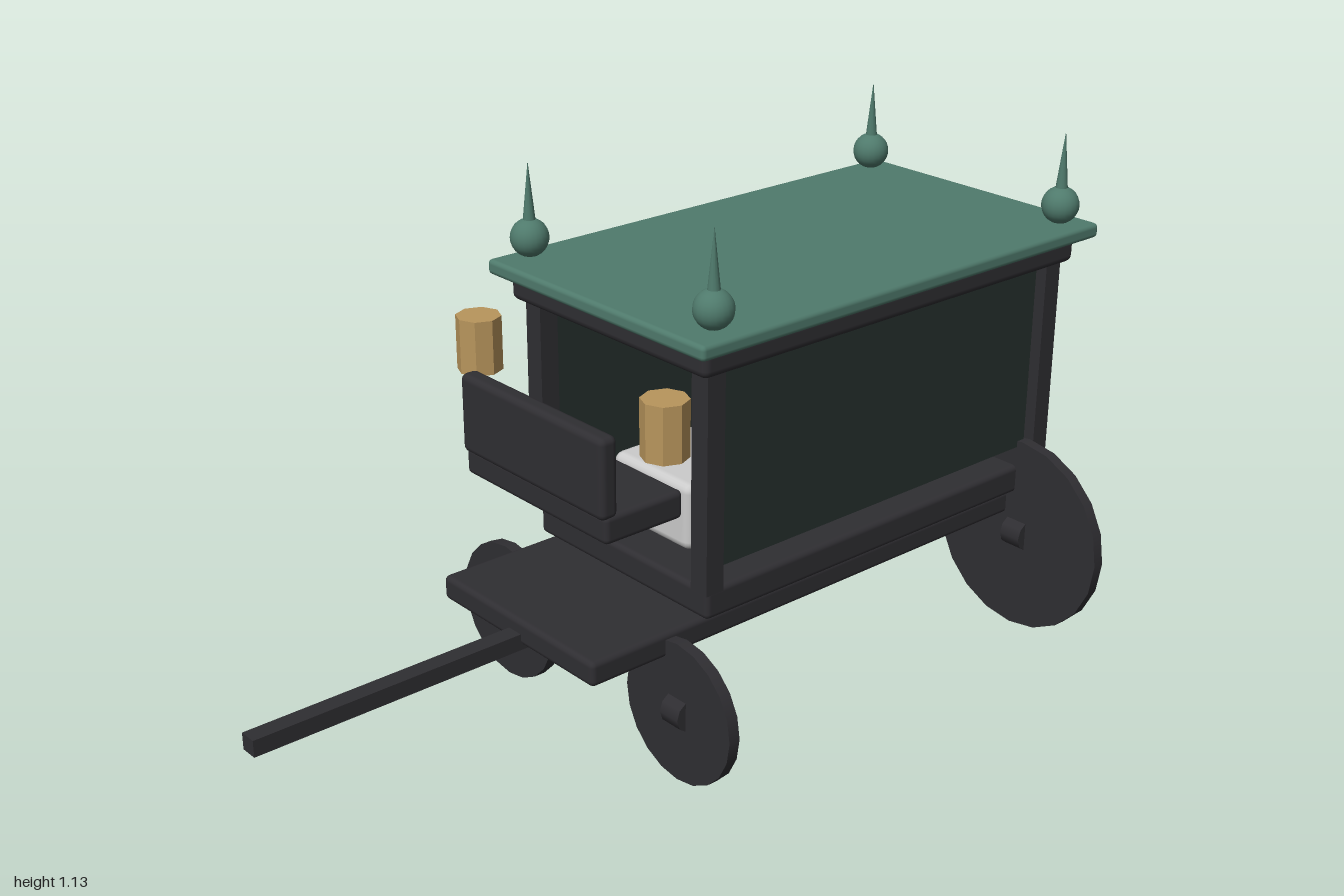
import * as THREE from 'three';
import { RoundedBoxGeometry } from 'three/addons/geometries/RoundedBoxGeometry.js';

const mat = (color) => new THREE.MeshStandardMaterial({ color });

export function createModel() {
  const model = new THREE.Group();
  const black = mat(0x2f2e32), glass = mat(0x25302d), green = mat(0x4f7a6c);
  const brass = mat(0xb8955c), pale = mat(0xcccccc);
  brass.flatShading = true;

  const add = (name, geometry, material, x, y, z) => {
    const mesh = new THREE.Mesh(geometry, material);
    mesh.name = name;
    mesh.position.set(x, y, z);
    model.add(mesh);
    return mesh;
  };
  // Box given by its extents; a radius rounds its edges
  const block = (name, material, [x0, x1], [y0, y1], [z0, z1], radius = 0) => {
    const size = [x1 - x0, y1 - y0, z1 - z0];
    const geometry = radius
      ? new RoundedBoxGeometry(...size, 2, radius)
      : new THREE.BoxGeometry(...size);
    return add(name, geometry, material, (x0 + x1) / 2, (y0 + y1) / 2, (z0 + z1) / 2);
  };

  // Undercarriage and floor
  block('chassis', black, [-0.243, 0.243], [0.262, 0.316], [-1, 0.4], 0.012);
  block('floor', black, [-0.265, 0.265], [0.32, 0.385], [-0.847, 0.13], 0.012);
  block('drawPole', black, [-0.019, 0.019], [0.252, 0.287], [0.28, 1]);

  // Roof
  block('cornice', black, [-0.297, 0.297], [0.846, 0.9], [-0.885, 0.168], 0.016);
  block('roof', green, [-0.328, 0.328], [0.899, 0.931], [-0.922, 0.201], 0.01);

  // Driver's bench
  block('seat', black, [-0.222, 0.222], [0.537, 0.597], [0.153, 0.345], 0.012);
  block('seatBack', black, [-0.222, 0.222], [0.588, 0.756], [0.312, 0.354], 0.014);

  // Casket and rear panel; the front stays open
  block('casket', pale, [-0.12, 0.12], [0.388, 0.535], [-0.78, 0.052], 0.02);
  block('rearPanel', glass, [-0.232, 0.232], [0.43, 0.832], [-0.85, -0.834]);

  const ballGeometry = new THREE.SphereGeometry(0.04, 20, 14);
  const spikeGeometry = new THREE.ConeGeometry(0.013, 0.122, 12);
  const lanternGeometry = new THREE.CylinderGeometry(0.047, 0.047, 0.115, 8);
  const hubGeometry = new THREE.CylinderGeometry(0.035, 0.035, 0.052, 10).rotateZ(Math.PI / 2);

  for (const side of [-1, 1]) {
    block('sidePanel', glass, [side * 0.255 - 0.008, side * 0.255 + 0.008], [0.43, 0.835], [-0.805, 0.09]);
    add('lantern', lanternGeometry, brass, side * 0.287, 0.778, 0.256);

    // Corner posts and roof finials
    for (const z of [0.121, -0.842]) {
      block('cornerPost', black, [side * 0.255 - 0.023, side * 0.255 + 0.023], [0.384, 0.85], [z - 0.022, z + 0.022]);
    }
    for (const z of [0.13, -0.85]) {
      add('finialBall', ballGeometry, green, side * 0.277, 0.974, z);
      add('finialSpike', spikeGeometry, green, side * 0.277, 1.071, z);
    }

    // Disc wheels with hubs
    for (const [name, radius, z] of [['front', 0.153, 0.204], ['rear', 0.222, -0.797]]) {
      const disc = new THREE.CylinderGeometry(radius, radius, 0.026, 20).rotateX(Math.PI / 2);
      add(name + 'Wheel', disc, black, side * 0.277, radius + 0.002, z);
      add(name + 'Hub', hubGeometry, black, side * 0.277, radius + 0.002, z);
    }
  }
  return model;
}
